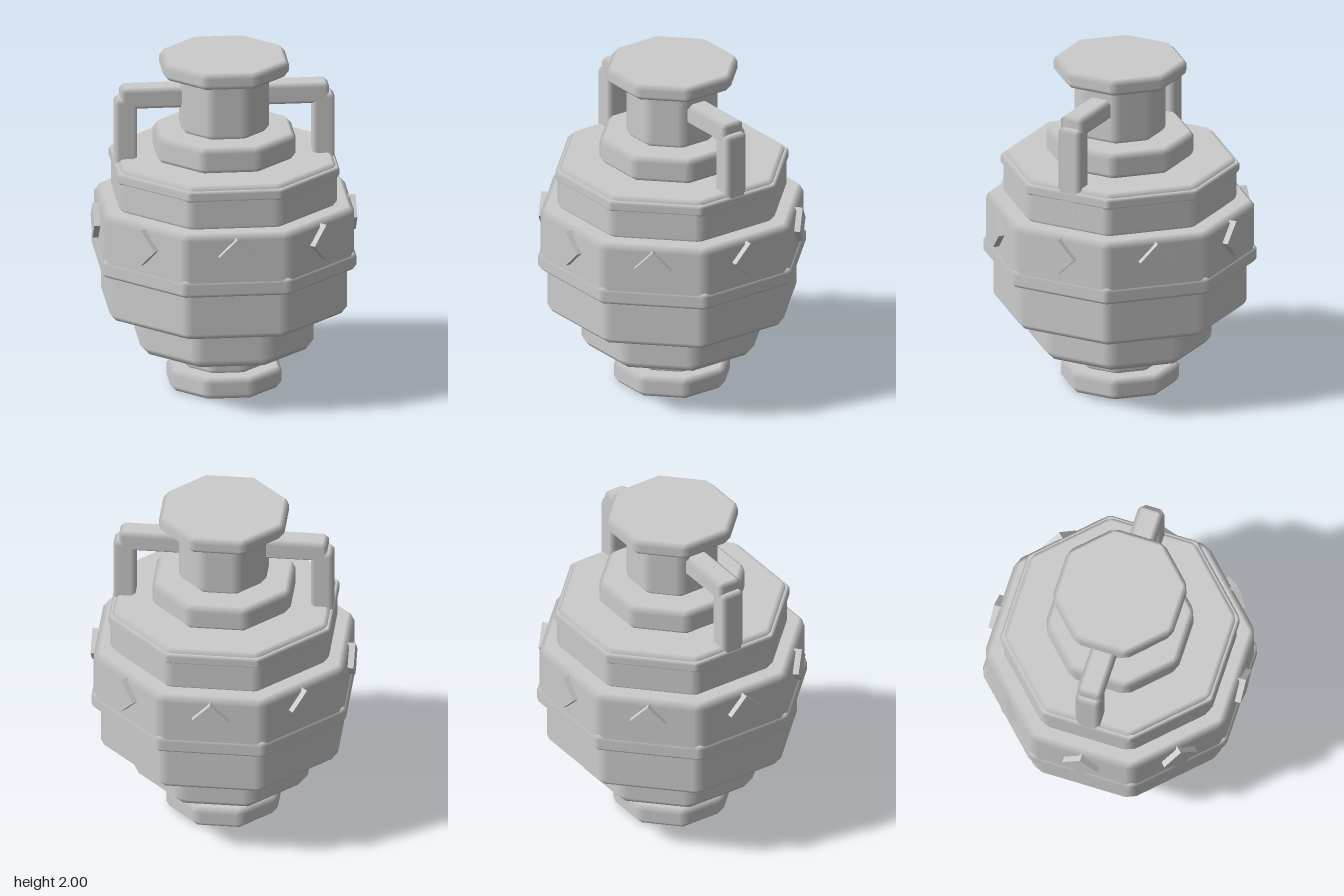
import * as THREE from 'three';

// Upright prism with flat sides and bevelled edges; flat faces keep flat normals,
// the bevels blend between them. a = centre-to-side distance, b = bevel width.
function bevelPrism(sides, a, y0, y1, b) {
  const pos = [], nor = [], idx = [];
  const half = Math.tan(Math.PI / sides);
  const n = sides * 2;
  // each ring has two points per side
  const ring = (r, y, cut, ny) => {
    for (let i = 0; i < sides; i++) {
      const t = (i / sides) * Math.PI * 2;
      const s = Math.sin(t), c = Math.cos(t);
      for (const k of [-1, 1]) {
        const w = k * (r * half - cut);
        pos.push(s * r + c * w, y, c * r - s * w);
        nor.push(ny ? 0 : s, ny, ny ? 0 : c);
      }
    }
  };
  ring(a - b, y0, 0, -1);
  ring(a, y0 + b, b, 0);
  ring(a, y1 - b, b, 0);
  ring(a - b, y1, 0, 1);
  for (let j = 0; j < 3; j++) {
    for (let i = 0; i < n; i++) {
      const k = (i + 1) % n;
      const p = j * n + i, q = j * n + k, u = p + n, v = q + n;
      const corner = i % 2 === 1; // end rings meet in one point at corners
      if (!(corner && j === 0)) idx.push(p, q, v);
      if (!(corner && j === 2)) idx.push(p, v, u);
      if (corner && j === 0) idx.push(p, v, u);
      if (corner && j === 2) idx.push(p, q, u);
    }
  }
  // end caps
  for (let i = 1; i < n - 1; i++) {
    idx.push(0, i + 1, i);
    idx.push(3 * n, 3 * n + i, 3 * n + i + 1);
  }
  const g = new THREE.BufferGeometry();
  g.setAttribute('position', new THREE.Float32BufferAttribute(pos, 3));
  g.setAttribute('normal', new THREE.Float32BufferAttribute(nor, 3));
  g.setIndex(idx);
  return g;
}

export function createModel() {
  const model = new THREE.Group();
  model.name = 'urn';
  const stone = new THREE.MeshStandardMaterial({ color: 0xcccccc });
  stone.name = 'greyStone';

  const add = (name, geometry, parent = model) => {
    const mesh = new THREE.Mesh(geometry, stone);
    mesh.name = name;
    parent.add(mesh);
    return mesh;
  };

  // Stacked octagonal sections: name, centre-to-side distance, bottom, top, bevel
  const sections = [
    ['foot', 0.325, 0, 0.13, 0.033],
    ['stem', 0.24, 0.12, 0.26, 0.033],
    ['lowerBowl', 0.505, 0.25, 0.5, 0.05],
    ['belly', 0.69, 0.49, 0.83, 0.035],
    ['bellyBand', 0.74, 0.765, 0.865, 0.022],
    ['upperBelly', 0.73, 0.78, 1.145, 0.038],
    ['shoulder', 0.635, 1.13, 1.405, 0.035],
    ['shoulderTrim', 0.645, 1.315, 1.38, 0.015],
    ['collar', 0.403, 1.4, 1.56, 0.033],
    ['neck', 0.255, 1.55, 1.91, 0.035],
    ['lid', 0.365, 1.9, 2, 0.03],
  ];
  for (const [name, a, y0, y1, b] of sections) add(name, bevelPrism(8, a, y0, y1, b));

  // Handles on both sides: an upright post and an arm into the neck
  for (const side of [-1, 1]) {
    const handle = new THREE.Group();
    handle.name = side > 0 ? 'leftHandle' : 'rightHandle';
    model.add(handle);

    const post = bevelPrism(4, 0.064, 1.2, 1.765, 0.025);
    post.scale(1, 1, 1.17);
    add('handlePost', post, handle).position.x = side * 0.574;

    const arm = bevelPrism(4, 0.064, -0.2, 0.2, 0.025);
    arm.scale(1, 1, 1.17);
    arm.rotateZ(Math.PI / 2);
    add('handleArm', arm, handle).position.set(side * 0.405, 1.766, 0);
  }

  // Diamond studs, one on each side of the upper belly
  const studs = new THREE.Group();
  studs.name = 'diamondStuds';
  model.add(studs);
  const stud = new THREE.BoxGeometry(0.152, 0.152, 0.06);
  stud.rotateZ(Math.PI / 4);
  stud.translate(0, 1.015, 0.735);
  for (let i = 0; i < 8; i++) {
    add('diamondStud', stud, studs).rotation.y = (i * Math.PI) / 4;
  }
  return model;
}
